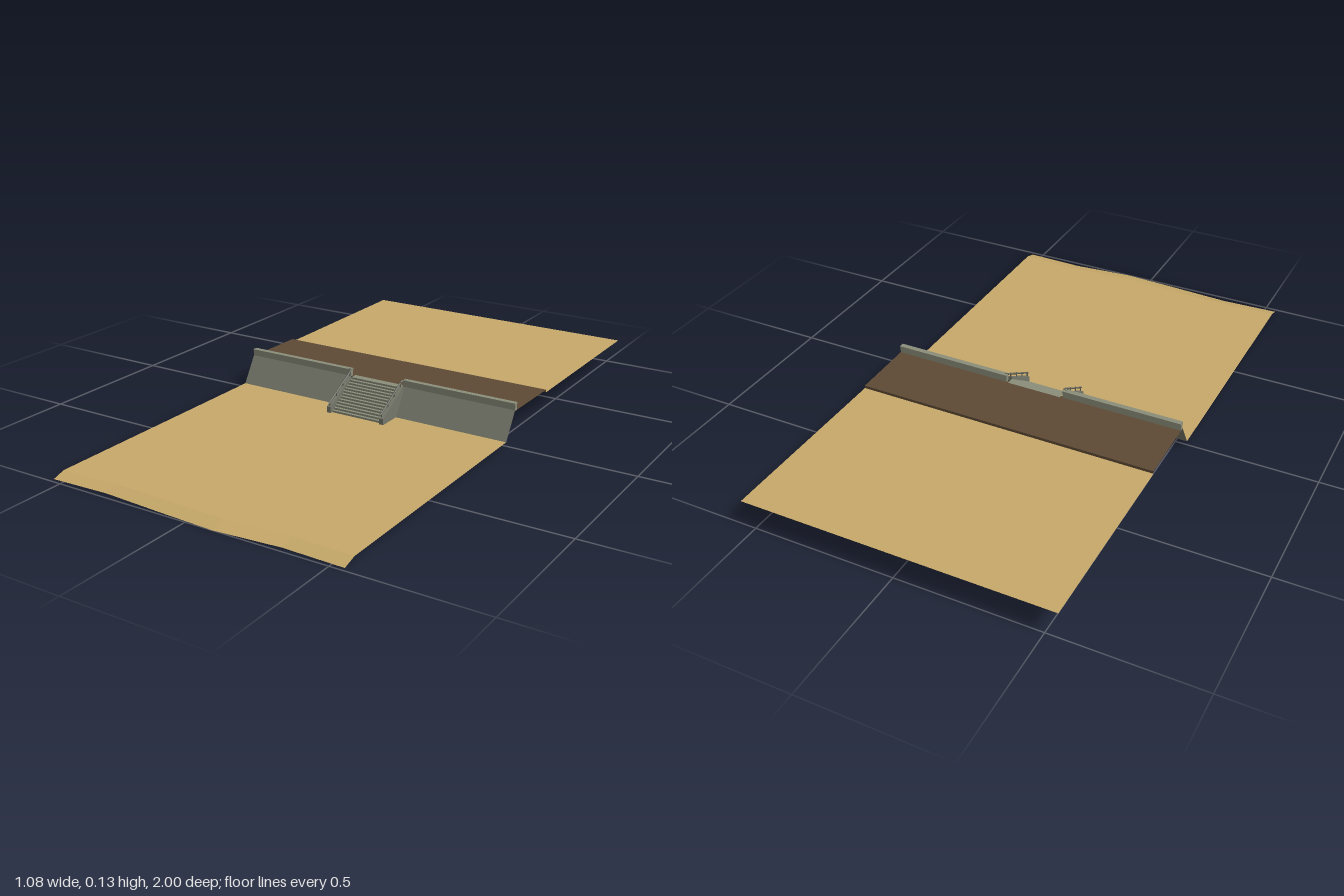
import * as THREE from 'three';

const material = (name, color) => {
  const m = new THREE.MeshStandardMaterial({ color, side: THREE.DoubleSide });
  m.name = name;
  return m;
};

// Open sheet through rows of [x, y, z] points, rows running back to front, points left to right
function sheet(rows) {
  const n = rows[0].length, index = [];
  for (let r = 0; r < rows.length - 1; r++) {
    for (let i = 0; i < n - 1; i++) {
      const a = r * n + i, b = a + n;
      index.push(a, b, a + 1, a + 1, b, b + 1);
    }
  }
  const indexed = new THREE.BufferGeometry();
  indexed.setAttribute('position', new THREE.Float32BufferAttribute(rows.flat(2), 3));
  indexed.setIndex(index);
  const g = indexed.toNonIndexed();
  g.computeVertexNormals();
  return g;
}

// Straight sheet between x0 and x1 following a [y, z] profile
const strip = (x0, x1, profile) => sheet(profile.map(([y, z]) => [[x0, y, z], [x1, y, z]]));

export function createModel() {
  const group = new THREE.Group();
  const sand = material('sand', 0xc6a869);
  const earth = material('brown promenade', 0x5d4a35);
  const wallGrey = material('wall grey', 0x76776a);
  const concrete = material('pale concrete', 0x8b8d7a);
  const railGrey = material('rail grey', 0x5f6258);

  const add = (name, geometry, mat, x = 0, y = 0, z = 0) => {
    const mesh = new THREE.Mesh(geometry, mat);
    mesh.name = name;
    mesh.position.set(x, y, z);
    group.add(mesh);
    return mesh;
  };

  const W = 0.542, BEACH = 0.014, DECK = 0.107;
  const GAP = 0.1;

  // Beach with a wavy edge dipping to the waterline
  const xs = [-W, -0.33, -0.1, 0.1, 0.33, W];
  const crest = [0.94, 0.93, 0.938, 0.946, 0.93, 0.938];
  const shore = [0.985, 0.976, 0.99, 1.0, 0.98, 0.986];
  add('beach', sheet([
    xs.map((x) => [x, BEACH, 0]),
    xs.map((x, i) => [x, BEACH, crest[i]]),
    xs.map((x, i) => [x, 0, shore[i]]),
  ]), sand);

  // Upper ground and promenade with its low kerb
  add('upperGround', strip(-W, W, [[0.093, -1], [0.093, -0.31]]), sand);
  add('promenade', strip(-W, W, [[0.093, -0.31], [0.103, -0.31], [DECK - 0.001, -0.066]]), earth);

  // Staircase of folded treads and risers with a landing on top
  const steps = 13, z0 = -0.05, z1 = 0.076;
  const profile = [[DECK, -0.077], [DECK, z0]];
  for (let i = 0; i < steps; i++) {
    const z = z0 + ((z1 - z0) * i) / (steps - 1);
    const y = DECK - ((DECK - BEACH) * (i + 1)) / steps;
    profile.push([y, z]);
    if (i < steps - 1) profile.push([y, z + (z1 - z0) / (steps - 1)]);
  }
  add('stairs', strip(-GAP, GAP, profile), concrete);

  // Side wall of the stairs, drawn in (z, y)
  const cheek = new THREE.Shape([
    [0.086, BEACH], [0.086, 0.036], [-0.05, 0.114], [-0.05, BEACH],
  ].map(([z, y]) => new THREE.Vector2(z, y)));
  const cheekGeometry = new THREE.ExtrudeGeometry(cheek, { depth: 0.016, bevelEnabled: false });
  cheekGeometry.rotateY(-Math.PI / 2).translate(0.008, 0, 0);

  for (const side of [-1, 1]) {
    const label = side > 0 ? 'left' : 'right';
    const inner = side * (GAP + 0.008), outer = side * W;
    const length = W - GAP - 0.008, mid = (inner + outer) / 2;

    // Sloping sea wall, parapet and coping
    add(label + 'SeaWall', strip(Math.min(inner, outer), Math.max(inner, outer),
      [[0.11, -0.06], [BEACH, 0]]), wallGrey);
    add(label + 'Parapet', new THREE.BoxGeometry(length, 0.022, 0.014), concrete, mid, 0.117, -0.066);
    add(label + 'Coping', new THREE.BoxGeometry(length, 0.006, 0.019), concrete, mid, 0.13, -0.066);
    add(label + 'StairWall', cheekGeometry, wallGrey, side * (GAP + 0.008));

    // Handrail bending round into the parapet, on short posts
    const x = side * (GAP + 0.006);
    const path = new THREE.CatmullRomCurve3([
      [x, 0.051, 0.086], [x, 0.092, 0.012], [x, 0.129, -0.054],
      [x + side * 0.003, 0.131, -0.061], [x + side * 0.014, 0.131, -0.064],
    ].map((p) => new THREE.Vector3(...p)));
    add(label + 'Handrail', new THREE.TubeGeometry(path, 24, 0.003, 8), railGrey);
    for (const z of [0.08, 0.038, -0.004, -0.046]) {
      const foot = 0.036 + ((0.086 - z) / 0.136) * 0.078;
      add(label + 'RailPost', new THREE.CylinderGeometry(0.002, 0.002, 0.02, 6), railGrey, x, foot + 0.008, z);
    }
  }
  return group;
}
